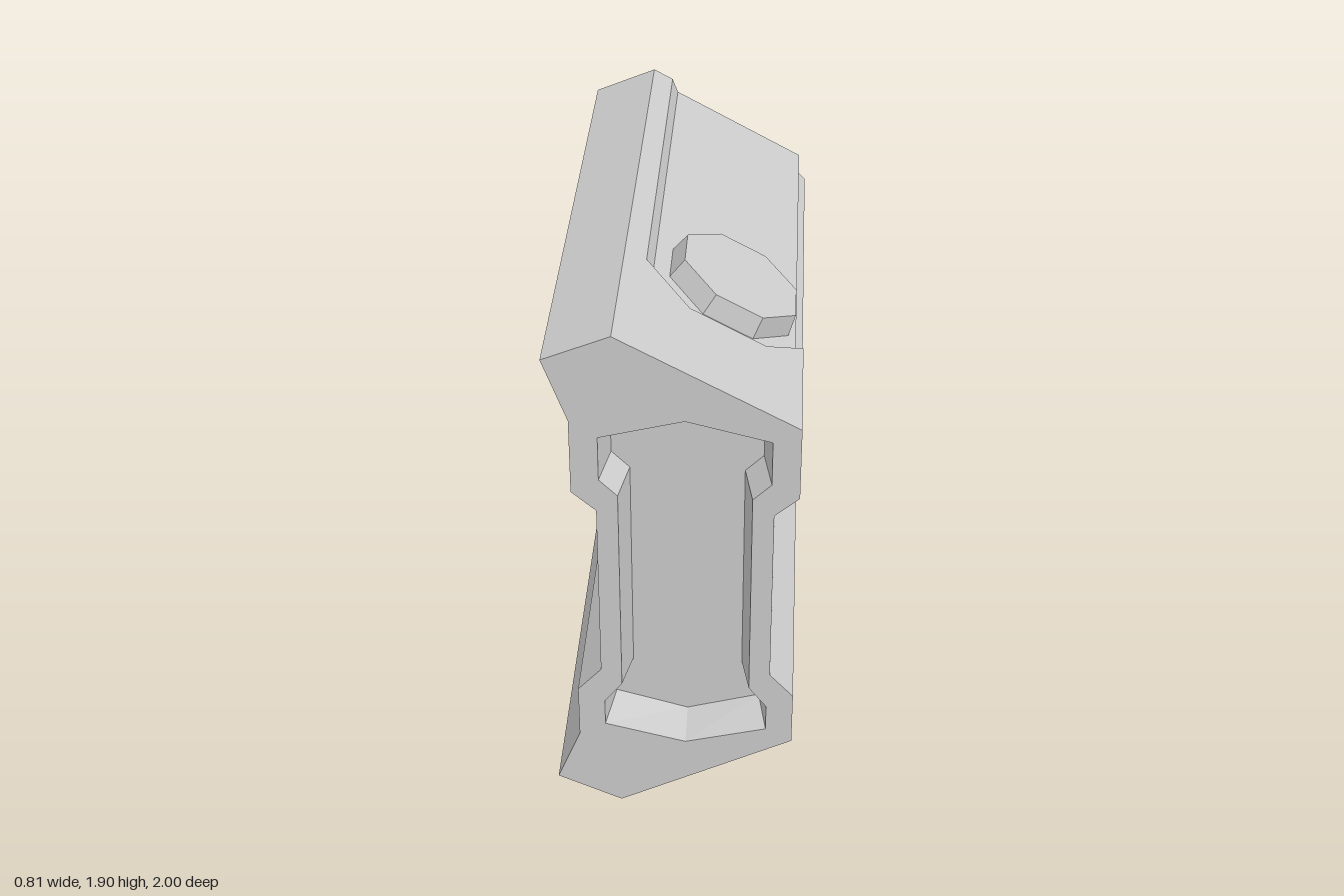
import * as THREE from 'three';

const SLOPE = -0.542;
const STEP = 0.042; // depth of the roof channel
const roofY = (x) => 1.9 + SLOPE * (x + 0.19);

const material = new THREE.MeshStandardMaterial({ color: 0xcccccc, flatShading: true });
const toPoints = (list) => list.map(([x, y]) => new THREE.Vector2(x, y));
const toShape = (list) => new THREE.Shape(toPoints(list));

function addMesh(parent, name, geometry) {
  const mesh = new THREE.Mesh(geometry, material);
  mesh.name = name;
  parent.add(mesh);
  return mesh;
}

// Straight extrusion along z between two positions
function prism(shape, z0, z1) {
  return new THREE.ExtrudeGeometry(shape, { depth: z1 - z0, bevelEnabled: false }).translate(0, 0, z0);
}

// Band between two counter-clockwise outlines; faces outward when z rises, inward when it falls
function band(a, za, b, zb) {
  const pos = [];
  a.forEach((p, i) => {
    const j = (i + 1) % a.length;
    const [p0, p1, q0, q1] = [[...p, za], [...a[j], za], [...b[i], zb], [...b[j], zb]];
    pos.push(...p0, ...p1, ...q1, ...p0, ...q1, ...q0);
  });
  const geometry = new THREE.BufferGeometry();
  geometry.setAttribute('position', new THREE.Float32BufferAttribute(pos, 3));
  geometry.computeVertexNormals();
  return geometry;
}

function flatFace(outline, hole, z) {
  const shape = toShape(outline);
  if (hole) shape.holes.push(new THREE.Path(toPoints(hole)));
  return new THREE.ShapeGeometry(shape).translate(0, 0, z);
}

// Waisted outline of the end recesses, centred on its own axis
const half = [[0.275, -0.59], [0.275, -0.49], [0.215, -0.41], [0.215, 0.37], [0.275, 0.43], [0.275, 0.59]];
const recessRim = [[0, -0.66], ...half, [0, 0.66], ...half.map(([x, y]) => [-x, y]).reverse()];
const recessFloor = recessRim.map(([x, y]) => [
  x - 0.028 * Math.sign(x),
  y + Math.sign(y) * (Math.abs(y) > 0.5 ? -0.025 : 0.01),
]);

// Tall rectangle with cut corners
function slotOutline(w, h, cx, cy) {
  return [[w - cx, -h], [w, -h + cy], [w, h - cy], [w - cx, h],
    [cx - w, h], [-w, h - cy], [-w, -h + cy], [cx - w, -h]];
}

const RECESS_AT = [0.035, 0.94];
const DEPTH = 0.15;

function makeRecess(name, floorHole) {
  const group = new THREE.Group();
  group.name = name;
  addMesh(group, 'recessWall', band(recessRim, 0, recessFloor, -DEPTH));
  addMesh(group, 'recessFloor', flatFace(recessFloor, floorHole, -DEPTH));
  return group;
}

export function createModel() {
  const model = new THREE.Group();
  model.name = 'block';

  // Main body: beam profile with the channel and side notch cut along the roof
  const profile = toShape([
    [-0.19, 0], [0.4, 0.3], [0.4, 0.5], [0.32, 0.59], [0.32, 1.25], [0.4, 1.32],
    [0.4, 1.45], [0.375, 1.475], [0.375, roofY(0.375) - STEP],
    [-0.1, roofY(-0.1) - STEP], [-0.12, roofY(-0.12)], [-0.19, 1.9],
    [-0.41, 1.81], [-0.33, 1.59], [-0.33, 1.32], [-0.25, 1.25],
    [-0.25, 0.59], [-0.33, 0.5], [-0.33, 0.3], [-0.41, 0.1],
  ]);
  profile.holes.push(new THREE.Path(toPoints(recessRim.map(([x, y]) => [x + RECESS_AT[0], y + RECESS_AT[1]]))));
  addMesh(model, 'body', prism(profile, -1, 1));

  // Roof plate closing the front of the channel, with an angled end around the button
  const plan = [[-0.12, 1], [0.4, 1], [0.4, 0.51], [0.28, 0.61], [0.03, 0.61], [-0.12, 0.44]];
  const plate = prism(toShape(plan.map(([x, z]) => [x, -z])), 0, 1).rotateX(-Math.PI / 2);
  const pos = plate.attributes.position;
  for (let i = 0; i < pos.count; i++) {
    const top = pos.getY(i) > 0.5;
    pos.setY(i, roofY(pos.getX(i)) - (top ? 0 : STEP));
    if (!top && pos.getZ(i) < 0.9) pos.setZ(i, pos.getZ(i) - 0.02);
  }
  plate.computeVertexNormals();
  addMesh(model, 'roofPlate', plate);

  // Filler closing the front of the side notch
  const filler = toShape([[0.375, 1.475], [0.4, 1.45], [0.4, 1.58], [0.375, roofY(0.375) - STEP]]);
  addMesh(model, 'notchEnd', prism(filler, 0.51, 1));

  // Eight-sided button standing square to the roof
  const k = Math.cos(Math.PI / 8);
  const button = new THREE.CylinderGeometry(0.21 / k, 0.226 / k, 0.08, 8).rotateY(Math.PI / 8);
  const buttonMesh = addMesh(model, 'button', button.translate(0, 0.037, 0));
  buttonMesh.position.set(0.151, roofY(0.151) - STEP, 0.312);
  buttonMesh.rotation.z = Math.atan(SLOPE);

  // Front recess
  const front = makeRecess('frontRecess');
  front.position.set(...RECESS_AT, 1);
  model.add(front);

  // Back recess with a tapered boss and a deep slot
  const bossBase = slotOutline(0.17, 0.49, 0.08, 0.1);
  const bossRim = slotOutline(0.115, 0.405, 0.05, 0.06);
  const slotRim = slotOutline(0.09, 0.375, 0.04, 0.05);
  const slotInner = slotOutline(0.07, 0.35, 0.03, 0.04);
  const back = makeRecess('backRecess', bossBase);
  addMesh(back, 'bossSide', band(bossBase, -DEPTH, bossRim, 0));
  addMesh(back, 'bossRim', flatFace(bossRim, slotRim, 0));
  addMesh(back, 'slotBevel', band(slotRim, 0, slotInner, -0.03));
  addMesh(back, 'slotWall', band(slotInner, -0.03, slotInner, -0.3));
  addMesh(back, 'slotFloor', flatFace(slotInner, null, -0.3));
  back.position.set(...RECESS_AT, -1);
  back.rotation.y = Math.PI;
  model.add(back);

  return model;
}
